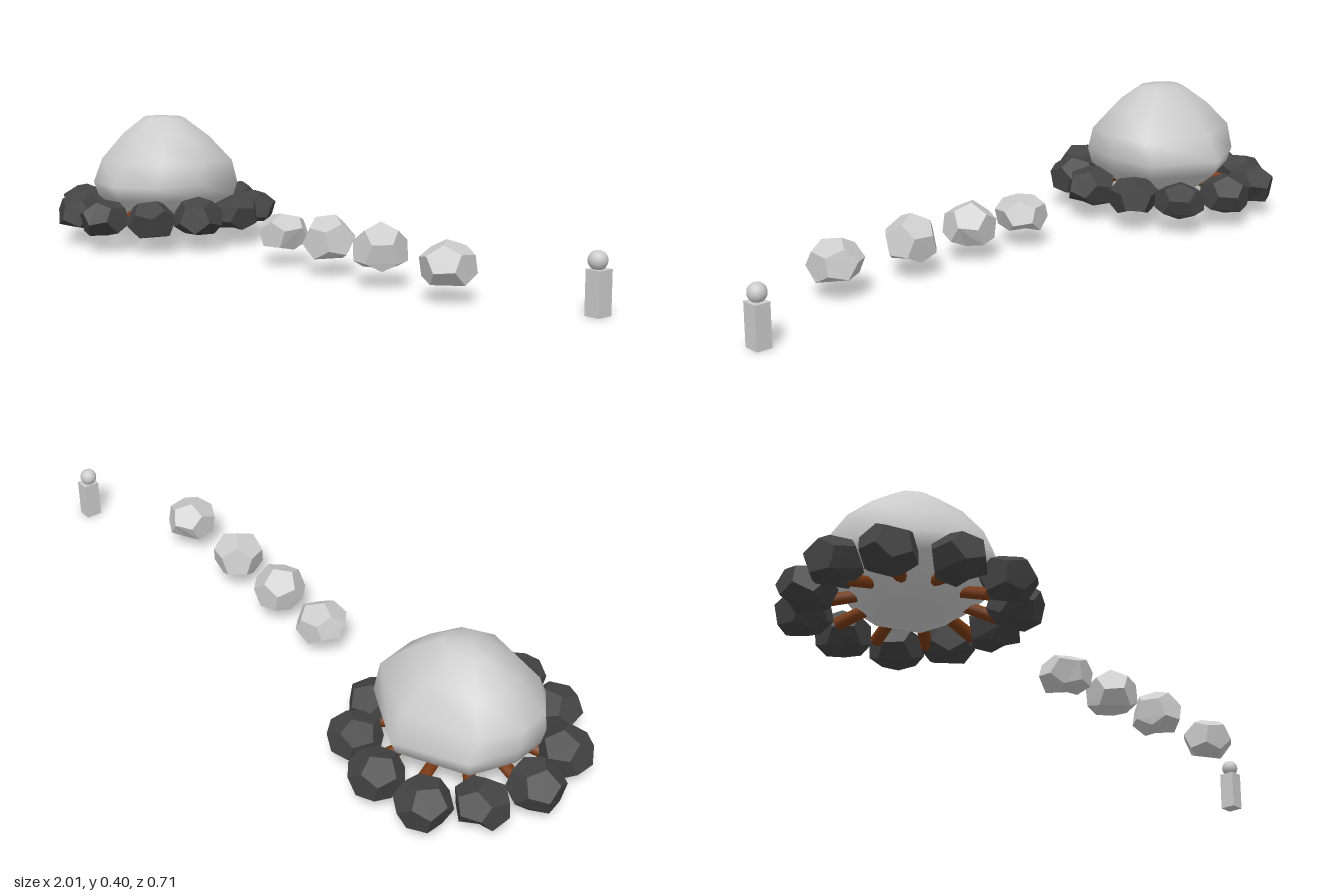
import * as THREE from 'three';
import { mergeVertices } from 'three/addons/utils/BufferGeometryUtils.js';

const CX = -0.66; // centre of the fire ring
const BASE = 0.05; // level the stones rest on
const MID = 0.1; // height of the stone centres

function add(parent, name, geometry, material, x = 0, y = 0, z = 0) {
  const mesh = new THREE.Mesh(geometry, material);
  mesh.name = name;
  mesh.position.set(x, y, z);
  parent.add(mesh);
  return mesh;
}

// Dodecahedron turned so that a given local direction points up, cut flat at the base.
function stoneGeometry(up, spin, top) {
  const geo = new THREE.DodecahedronGeometry(0.08);
  const q = new THREE.Quaternion().setFromUnitVectors(up.clone().normalize(), new THREE.Vector3(0, 1, 0));
  geo.applyQuaternion(q).rotateY(spin);
  geo.computeBoundingBox();
  const lift = (top - MID) / geo.boundingBox.max.y;
  const p = geo.attributes.position;
  for (let i = 0; i < p.count; i++) {
    const y = p.getY(i);
    p.setY(i, y > 0 ? y * lift : Math.max(y, BASE - MID));
  }
  geo.computeVertexNormals();
  return geo;
}

// Closed lumpy mound: one irregular outline scaled through a vertical profile.
function moundGeometry() {
  const outline = [
    [0.22, 0], [0.175, 0.15], [0.06, 0.233], [-0.1, 0.205], [-0.21, 0.1],
    [-0.225, -0.01], [-0.185, -0.15], [0.005, -0.25], [0.2, -0.15],
  ];
  // height, scale in x, scale in z
  const profile = [
    [0.037, 0, 0], [0.075, 0.55, 0.55], [0.145, 0.94, 0.92], [0.19, 0.97, 1],
    [0.262, 1, 0.83], [0.335, 0.67, 0.57], [0.392, 0.32, 0.26], [0.397, 0, 0],
  ];
  const pos = [], index = [], n = outline.length;
  for (const [y, sx, sz] of profile) for (const [x, z] of outline) pos.push(x * sx, y, z * sz);
  for (let j = 0; j < profile.length - 1; j++) {
    for (let i = 0; i < n; i++) {
      const a = j * n + i, b = j * n + (i + 1) % n;
      if (j < profile.length - 2) index.push(a, a + n, b + n);
      else index.push(a, a + n, b);
      if (j > 0 && j < profile.length - 2) index.push(a, b + n, b);
    }
  }
  const geo = new THREE.BufferGeometry();
  geo.setAttribute('position', new THREE.Float32BufferAttribute(pos, 3));
  geo.setIndex(index);
  const merged = mergeVertices(geo, 1e-5);
  merged.computeVertexNormals();
  return merged;
}

export function createModel() {
  const model = new THREE.Group();
  const grey = new THREE.MeshStandardMaterial({ color: 0xcccccc });
  const greyFlat = new THREE.MeshStandardMaterial({ color: 0xcccccc, flatShading: true });
  const darkStone = new THREE.MeshStandardMaterial({ color: 0x444444, flatShading: true });
  const wood = new THREE.MeshStandardMaterial({ color: 0x7a3a12 });

  let seed = 7;
  const random = () => (seed = (seed * 16807) % 2147483647) / 2147483647;

  // Smooth mound in the middle of the ring
  add(model, 'mound', moundGeometry(), grey, CX);

  // Ring of dark stones
  const ring = new THREE.Group();
  ring.name = 'stoneRing';
  model.add(ring);
  const spots = [
    [-0.405, 0.05], [-0.465, 0.185], [-0.587, 0.275], [-0.745, 0.26], [-0.885, 0.16], [-0.93, 0.01],
    [-0.89, -0.14], [-0.80, -0.26], [-0.645, -0.285], [-0.497, -0.235], [-0.425, -0.11],
  ];
  for (const [x, z] of spots) {
    const up = new THREE.Vector3(random() - 0.5, random() - 0.5, random() - 0.5);
    add(ring, 'ringStone', stoneGeometry(up, random() * 6, 0.15 + random() * 0.018), darkStone, x, MID, z);
  }

  // Logs leaning inward beneath the mound
  const logs = new THREE.Group();
  logs.name = 'logs';
  model.add(logs);
  const count = 10;
  for (let i = 0; i < count; i++) {
    const pivot = new THREE.Group();
    pivot.position.set(CX, 0, 0);
    pivot.rotation.y = (i / count) * Math.PI * 2;
    const log = add(pivot, 'log', new THREE.CylinderGeometry(0.015, 0.018, 0.17, 8), wood, 0.14, 0.1, 0);
    log.rotation.z = 1.3;
    logs.add(pivot);
  }

  // Row of pale stepping stones: x, top, upward direction, spin
  const face = new THREE.Vector3(0, 1, 1.618);
  const corner = new THREE.Vector3(1, 1, 1);
  const edge = new THREE.Vector3(0.15, 1, 0.1);
  const steps = [
    [-0.055, 0.153, face, 0.3], [0.148, 0.172, edge, 0.8],
    [0.362, 0.18, corner, 0.5], [0.62, 0.163, edge, 2.2],
  ];
  for (const [x, top, up, spin] of steps) {
    add(model, 'steppingStone', stoneGeometry(up, spin, top), greyFlat, x, MID, -0.005);
  }

  // Small post with a round head
  add(model, 'post', new THREE.BoxGeometry(0.045, 0.12, 0.05), greyFlat, 0.977, 0.06, -0.175);
  add(model, 'postHead', new THREE.SphereGeometry(0.026, 16, 12), grey, 0.974, 0.142, -0.173);

  return model;
}
